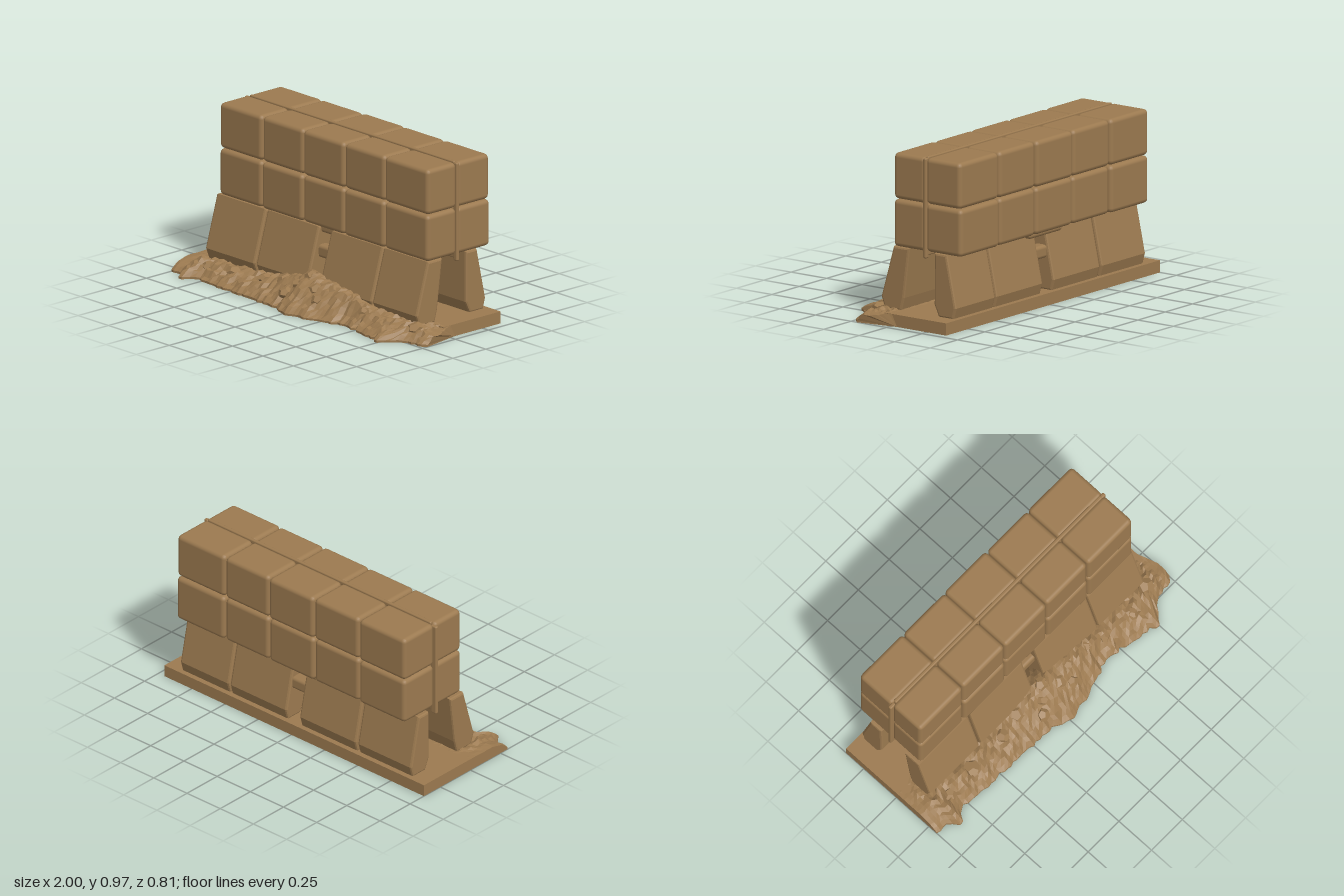
import * as THREE from 'three';
import { RoundedBoxGeometry } from 'three/addons/geometries/RoundedBoxGeometry.js';

const clay = new THREE.MeshStandardMaterial({ color: 0x9c7a50 });
clay.name = 'clay brown';
const rubbleClay = clay;

let seed = 7;
const rand = () => (seed = (seed * 16807) % 2147483647) / 2147483647;
const jitter = (a) => (rand() - 0.5) * 2 * a;

// linear interpolation through [x, value] pairs
function sample(points, x) {
  if (x <= points[0][0]) return points[0][1];
  for (let i = 1; i < points.length; i++) {
    const [x0, v0] = points[i - 1], [x1, v1] = points[i];
    if (x <= x1) return v0 + (v1 - v0) * (x - x0) / (x1 - x0);
  }
  return points[points.length - 1][1];
}

function add(group, name, geometry) {
  const mesh = new THREE.Mesh(geometry, clay);
  mesh.name = name;
  group.add(mesh);
  return mesh;
}

// rounded box given by its limits on each axis
function block(group, name, [x0, x1], [y0, y1], [z0, z1], r = 0.026) {
  const g = new RoundedBoxGeometry(x1 - x0, y1 - y0, z1 - z0, 2, r);
  const mesh = add(group, name, g);
  mesh.position.set((x0 + x1) / 2, (y0 + y1) / 2, (z0 + z1) / 2);
  return mesh;
}

// leaning slab: a side profile of [z, y] points extruded along x
function leaningSlab(group, name, profile, x0, x1) {
  const b = 0.012;
  const shape = new THREE.Shape(profile.map(([z, y]) => new THREE.Vector2(z, y)));
  const g = new THREE.ExtrudeGeometry(shape, {
    depth: x1 - x0 - 2 * b, bevelThickness: b, bevelSize: b, bevelOffset: -b, bevelSegments: 2,
  });
  g.rotateY(-Math.PI / 2);
  g.translate(x1 - b, 0, 0);
  add(group, name, g);
}

// sloping bank of earth: cross-sections along x, each a closed loop
function rubbleBank() {
  const edge = [[-1, 0.31], [-0.92, 0.32], [-0.87, 0.38], [-0.8, 0.31], [-0.5, 0.33], [-0.3, 0.34], [-0.1, 0.35],
    [0, 0.4], [0.2, 0.36], [0.4, 0.29], [0.6, 0.32], [0.75, 0.36], [0.85, 0.25], [0.97, 0.23], [1, 0.2]];
  const ridge = [[-1, 0.068], [-0.9, 0.075], [-0.5, 0.09], [-0.3, 0.11], [-0.12, 0.15], [0, 0.195], [0.1, 0.17],
    [0.3, 0.15], [0.5, 0.11], [0.8, 0.085], [1, 0.05]];
  const cols = 80, rows = 14, zBack = -0.04;
  const pos = [], index = [], n = rows + 3;
  for (let i = 0; i <= cols; i++) {
    const x = -1 + 2 * i / cols, zEdge = sample(edge, x) + (i > 0 ? jitter(0.012) : 0);
    const top = sample(ridge, x);
    for (let j = 0; j <= rows; j++) {
      const t = j / rows, z = zBack + (zEdge - zBack) * t;
      const y = sample([[zBack, 0.066], [0.0, 0.07], [0.13, top], [0.19, top], [zEdge - 0.04, 0.045], [zEdge, 0.012]], z);
      const rough = j > 2 && j < rows && Math.abs(x) < 0.93 ? 0.012 : 0.002;
      const pull = x > 0.9 ? 0.045 * (x - 0.9) / 0.1 * THREE.MathUtils.clamp((0.12 - z) / 0.12, 0, 1) : 0;
      pos.push(x - pull, Math.max(0.006, y + jitter(rough)), z);
    }
    pos.push(x, 0, zEdge, x - (x > 0.95 ? 0.045 : 0), 0, zBack);
  }
  for (let i = 0; i < cols; i++) {
    for (let j = 0; j < n - 1; j++) {
      const a = i * n + j, c = a + n;
      index.push(a, a + 1, c, a + 1, c + 1, c);
    }
  }
  const last = cols * n;
  for (let j = 0; j < n - 2; j++) {
    index.push(n - 1, j + 1, j, last + n - 1, last + j, last + j + 1);
  }
  const g = new THREE.BufferGeometry();
  g.setAttribute('position', new THREE.Float32BufferAttribute(pos, 3));
  g.setIndex(index);
  const flat = g.toNonIndexed();
  flat.computeVertexNormals();
  return flat;
}

export function createModel() {
  const model = new THREE.Group();
  model.name = 'blockWall';

  // base plate and earth bank
  const base = add(model, 'basePlate', new THREE.BoxGeometry(1.955, 0.07, 0.435));
  base.position.set(-0.0225, 0.035, -0.1675);
  add(model, 'rubbleBank', rubbleBank());

  // loose stones on the bank
  const stones = new THREE.Group();
  stones.name = 'looseStones';
  model.add(stones);
  const spots = [[0, 0.18, 0.17], [-0.05, 0.13, 0.22], [0.09, 0.13, 0.22], [0.2, 0.14, 0.18], [-0.2, 0.11, 0.18],
    [0.35, 0.12, 0.17], [-0.35, 0.09, 0.2], [0.15, 0.09, 0.27], [0.47, 0.085, 0.21], [0.68, 0.07, 0.22],
    [-0.6, 0.07, 0.2], [-0.8, 0.06, 0.22], [0.85, 0.065, 0.17], [-0.1, 0.08, 0.28]];
  for (const [x, y, z] of spots) {
    const s = add(stones, 'stone', new THREE.DodecahedronGeometry(0.035 + rand() * 0.018));
    s.scale.y = 0.6;
    s.position.set(x, y, z);
    s.rotation.set(0.5 + jitter(0.3), rand() * 3, jitter(0.3));
  }

  // leaning lower slabs, front and back
  const frontProfile = [[0.068, 0.43], [-0.042, 0.43], [-0.005, 0.14], [0.015, 0.065], [0.13, 0.065], [0.155, 0.13]];
  const backProfile = [[-0.22, 0.43], [-0.305, 0.43], [-0.37, 0.13], [-0.352, 0.065], [-0.25, 0.065], [-0.218, 0.135]];
  for (const [x0, x1] of [[-0.89, -0.487], [-0.473, -0.048], [0.05, 0.475], [0.484, 0.85]]) {
    leaningSlab(model, 'frontSlab', frontProfile, x0, x1);
    leaningSlab(model, 'backSlab', backProfile, x0, x1);
  }

  // bridges across the middle opening and the sagging lintel above it
  block(model, 'frontBridge', [-0.08, 0.08], [0.25, 0.325], [0.0, 0.07], 0.02);
  block(model, 'backBridge', [-0.08, 0.08], [0.25, 0.325], [-0.32, -0.24], 0.02);
  block(model, 'lintel', [-0.16, 0.14], [0.392, 0.45], [-0.35, 0.05], 0.02);
  block(model, 'lintelDrip', [-0.12, 0.1], [0.365, 0.42], [-0.17, -0.14], 0.01);

  // upper blocks: five columns, two rows, two deep
  const columns = [[-0.873, -0.526], [-0.521, -0.186], [-0.183, 0.153], [0.157, 0.485], [0.489, 0.848]];
  const rows = [[0.427, 0.698], [0.701, 0.965]];
  for (const col of columns) {
    for (const row of rows) {
      block(model, 'frontBlock', col, row, [-0.153, 0.068 + jitter(0.004)]);
      block(model, 'backBlock', col, row, [-0.404 + jitter(0.004), -0.157]);
    }
  }

  // raised seam running round the wall between the two layers
  block(model, 'topSeam', [-0.85, 0.83], [0.945, 0.971], [-0.166, -0.144], 0.008);
  block(model, 'leftSeam', [0.825, 0.856], [0.39, 0.965], [-0.167, -0.143], 0.009);
  block(model, 'rightSeam', [-0.893, -0.85], [0.39, 0.955], [-0.167, -0.143], 0.009);
  block(model, 'bottomSeam', [-0.87, 0.84], [0.405, 0.44], [-0.166, -0.144], 0.009);

  return model;
}
